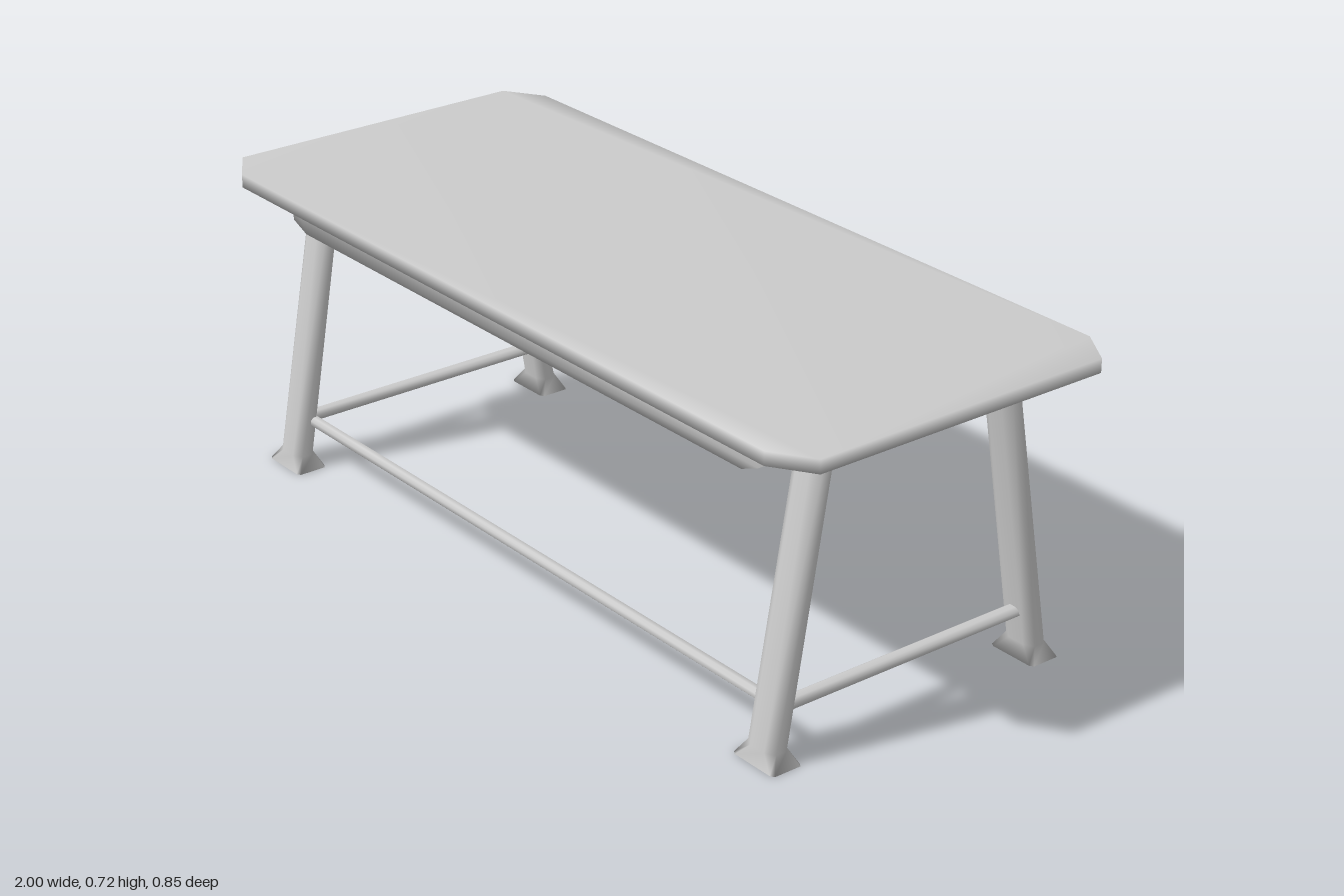
import * as THREE from 'three';
import { mergeVertices } from 'three/addons/utils/BufferGeometryUtils.js';

const material = new THREE.MeshStandardMaterial({ color: 0xcccccc });

function part(name, geometry) {
  const mesh = new THREE.Mesh(geometry, material);
  mesh.name = name;
  return mesh;
}

// Weld an extrusion so that its normals run smoothly over the edges
function smoothExtrude(points, depth) {
  const shape = new THREE.Shape(points.map(([x, y]) => new THREE.Vector2(x, y)));
  const g = new THREE.ExtrudeGeometry(shape, { depth, bevelEnabled: false });
  g.deleteAttribute('normal');
  g.deleteAttribute('uv');
  const welded = mergeVertices(g, 1e-4);
  welded.computeVertexNormals();
  return welded;
}

// Chamfered eight-sided section between an outer and an inner [z, y] point
function ring(outer, inner, halfX, chamfer) {
  const c = chamfer;
  const section = [[1, c], [1, -c], [c, -1], [-c, -1], [-1, -c], [-1, c], [-c, 1], [c, 1]];
  return section.map(([a, b]) => [
    a * halfX,
    (outer[1] + inner[1]) / 2 + b * (outer[1] - inner[1]) / 2,
    (outer[0] + inner[0]) / 2 + b * (outer[0] - inner[0]) / 2,
  ]);
}

// Skin a row of rings and close both ends
function loft(rings) {
  const n = rings[0].length, last = (rings.length - 1) * n, index = [];
  for (let r = 0; r < rings.length - 1; r++) {
    for (let i = 0; i < n; i++) {
      const a = r * n + i, b = r * n + (i + 1) % n;
      index.push(a, b, b + n, a, b + n, a + n);
    }
  }
  for (let i = 1; i < n - 1; i++) {
    index.push(0, i + 1, i, last, last + i, last + i + 1);
  }
  const g = new THREE.BufferGeometry();
  g.setAttribute('position', new THREE.Float32BufferAttribute(rings.flat(2), 3));
  g.setIndex(index);
  g.computeVertexNormals();
  return g;
}

// Trestle: flared foot, leaning leg, chamfered shoulder, then the same mirrored
function trestleGeometry() {
  const half = [
    [[0.39, 0], [0.313, 0], 0.0625, 0.85],
    [[0.378, 0.032], [0.325, 0.032], 0.0425, 0.5],
    [[0.268, 0.657], [0.222, 0.637], 0.0425, 0.45],
    [[0.242, 0.676], [0.217, 0.645], 0.0425, 0.45],
  ];
  const mirrored = half.slice().reverse().map(([o, i, hx, c]) => [[-o[0], o[1]], [-i[0], i[1]], hx, c]);
  return loft([...half, ...mirrored].map((r) => ring(...r)));
}

// Thin rail along z with pointed ends
function railGeometry(halfLength, taper, halfX, halfY) {
  const at = (z, s) => ring([z, halfY * s], [z, -halfY * s], halfX * s, 0.45);
  const body = halfLength - taper;
  return loft([at(halfLength, 0.1), at(body, 1), at(-body, 1), at(-halfLength, 0.1)]);
}

export function createModel() {
  const model = new THREE.Group();
  model.name = 'table';

  // Slab with cut corners
  const top = part('tableTop', smoothExtrude([
    [1, -0.366], [1, 0.366], [0.908, 0.425], [-0.908, 0.425],
    [-1, 0.366], [-1, -0.366], [-0.908, -0.425], [0.908, -0.425],
  ], 0.031));
  top.rotation.x = -Math.PI / 2;
  top.position.y = 0.686;
  model.add(top);

  // Box below the slab with its lower ends cut off
  const apron = part('apron', smoothExtrude([
    [-0.76, 0.602], [0.76, 0.602], [0.81, 0.622], [0.81, 0.687], [-0.81, 0.687], [-0.81, 0.622],
  ], 0.7));
  apron.position.z = -0.345;
  model.add(apron);

  // End frames, each with a low rail
  const trestle = trestleGeometry();
  const sideRail = railGeometry(0.331, 0.018, 0.018, 0.012);
  for (const [side, x] of [['left', 0.848], ['right', -0.848]]) {
    const frame = new THREE.Group();
    frame.name = side + 'EndFrame';
    const rail = part(side + 'Rail', sideRail);
    rail.position.y = 0.108;
    frame.add(part(side + 'Trestle', trestle), rail);
    frame.position.x = x;
    model.add(frame);
  }

  // Single long rail at the front
  const frontRail = part('frontRail', railGeometry(0.835, 0.025, 0.013, 0.012));
  frontRail.rotation.y = Math.PI / 2;
  frontRail.position.set(0, 0.112, 0.325);
  model.add(frontRail);

  return model;
}
